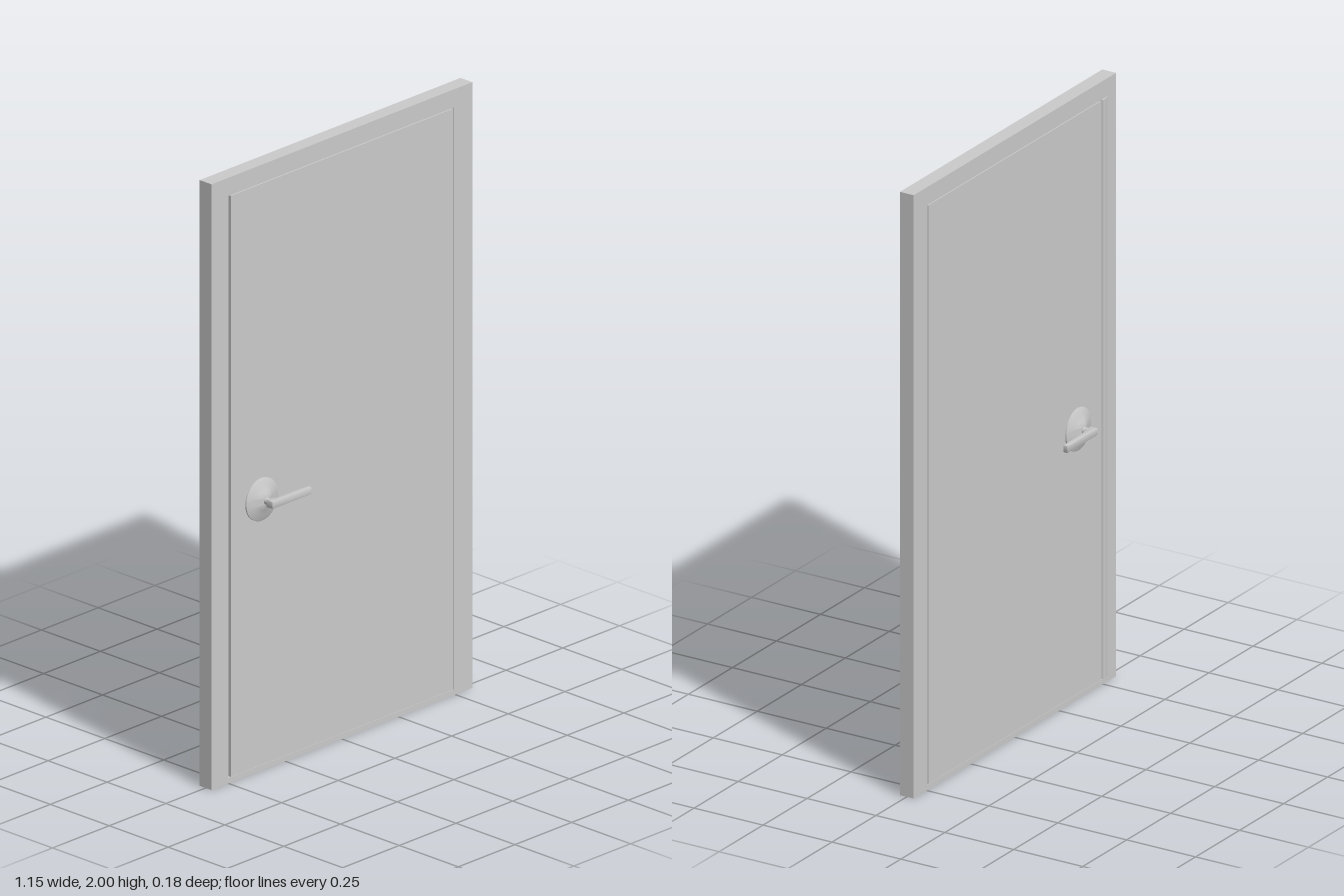
import * as THREE from 'three';
import { toCreasedNormals } from 'three/addons/utils/BufferGeometryUtils.js';

const material = new THREE.MeshStandardMaterial({ color: 0xcccccc });

function part(name, geometry, x = 0, y = 0, z = 0) {
  const mesh = new THREE.Mesh(geometry, material);
  mesh.name = name;
  mesh.position.set(x, y, z);
  return mesh;
}

function rectangle(Type, x0, y0, x1, y1) {
  return new Type([[x0, y0], [x1, y0], [x1, y1], [x0, y1]].map(p => new THREE.Vector2(...p)));
}

// Rose, spindle and lever, built outwards along +z from the middle of the leaf
function createHandle(name) {
  const group = new THREE.Group();
  group.name = name;

  const profile = [[0.07, 0.022], [0.07, 0.029], [0.066, 0.031], [0.048, 0.036],
    [0.032, 0.042], [0.022, 0.046], [0.014, 0.048], [0, 0.048]];
  const rose = new THREE.LatheGeometry(profile.map(p => new THREE.Vector2(...p)), 40);
  rose.rotateX(Math.PI / 2);
  group.add(part('rose', toCreasedNormals(rose, 0.6)));

  const spindle = new THREE.CylinderGeometry(0.011, 0.011, 0.024, 24);
  spindle.rotateX(Math.PI / 2);
  group.add(part('spindle', spindle, 0, 0, 0.056));

  // Tapered lever, drawn from above and extruded through its height
  const outline = new THREE.Shape();
  outline.moveTo(-0.013, 0.064);
  outline.lineTo(0.013, 0.064);
  outline.quadraticCurveTo(0.016, 0.069, 0.03, 0.07);
  outline.lineTo(0.154, 0.075);
  outline.lineTo(0.154, 0.086);
  outline.lineTo(-0.013, 0.086);
  outline.closePath();
  const lever = new THREE.ExtrudeGeometry(outline, {
    depth: 0.02, bevelThickness: 0.002, bevelSize: 0.002, bevelSegments: 2, curveSegments: 6,
  });
  lever.rotateX(Math.PI / 2);
  group.add(part('lever', toCreasedNormals(lever, 0.6), 0, 0.01, 0));

  group.position.set(-0.356, 0.897, 0);
  return group;
}

export function createModel() {
  const door = new THREE.Group();
  door.name = 'door';

  // Surrounding frame with its opening
  const outline = rectangle(THREE.Shape, -0.575, 0, 0.575, 2);
  outline.holes.push(rectangle(THREE.Path, -0.5, 0.018, 0.495, 1.94));
  const frame = new THREE.ExtrudeGeometry(outline, { depth: 0.05, bevelEnabled: false });
  door.add(part('frame', frame, 0, 0, -0.025));

  // Leaf, with a wider gap on the latch side
  door.add(part('leaf', new THREE.BoxGeometry(0.982, 1.918, 0.05), 0.001, 0.978, 0));

  // Rounded cover strip over the latch gap at the back
  const section = new THREE.Shape();
  section.moveTo(-0.525, -0.024);
  section.quadraticCurveTo(-0.522, -0.029, -0.513, -0.029);
  section.lineTo(-0.506, -0.031);
  section.lineTo(-0.495, -0.031);
  section.lineTo(-0.492, -0.024);
  const strip = new THREE.ExtrudeGeometry(section, { depth: 1.92, bevelEnabled: false, curveSegments: 6 });
  strip.rotateX(Math.PI / 2);
  door.add(part('coverStrip', strip, 0, 1.94, 0));

  // Matching handles on both faces
  const backHandle = createHandle('backHandle');
  backHandle.rotation.x = Math.PI;
  door.add(createHandle('frontHandle'), backHandle);

  return door;
}
